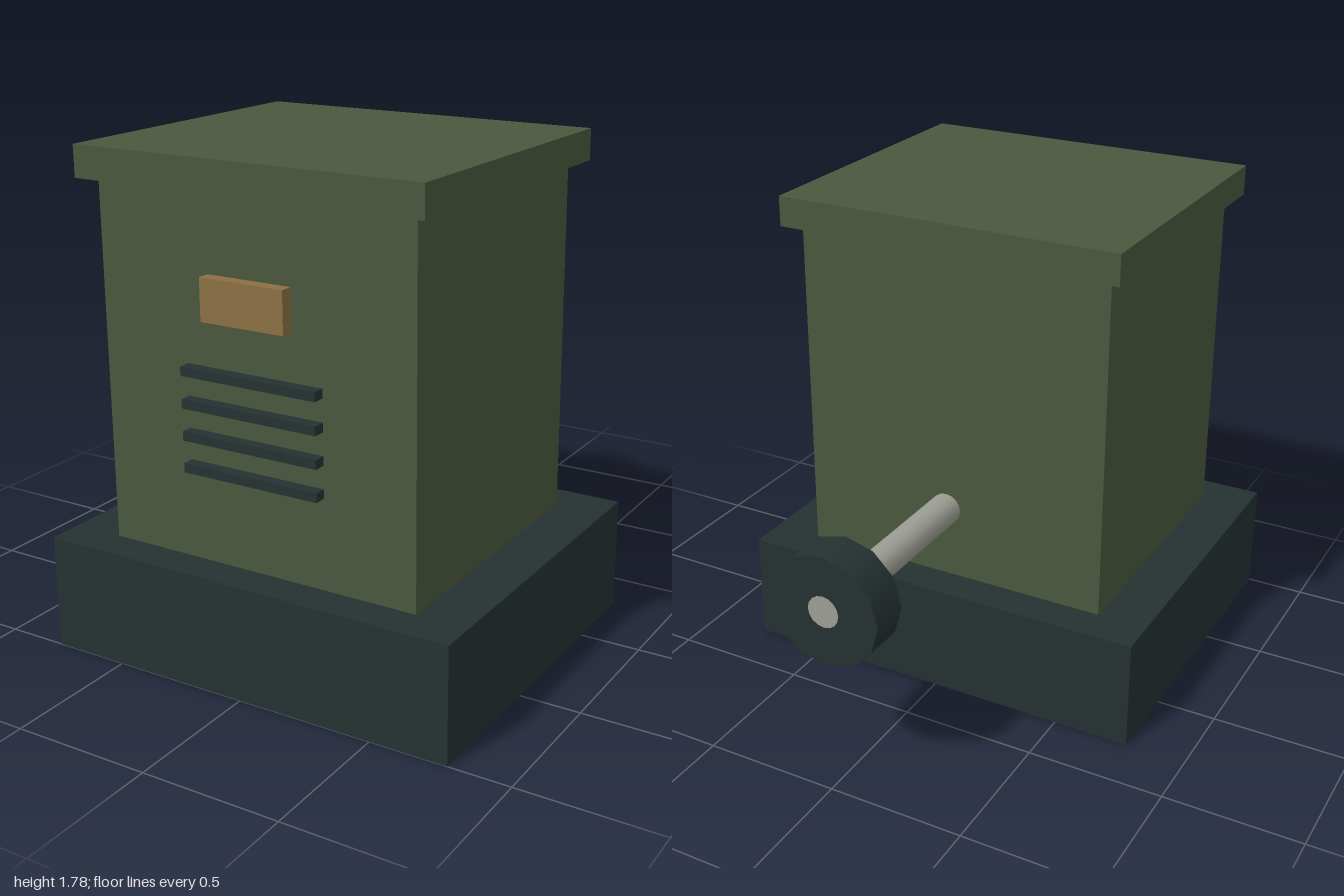
import * as THREE from 'three';

const material = (name, color) => {
  const m = new THREE.MeshStandardMaterial({ color });
  m.name = name;
  return m;
};

export function createModel() {
  const model = new THREE.Group();
  model.name = 'machineCabinet';
  const olive = material('olive green', 0x4a573e);
  const dark = material('dark slate', 0x253132);
  const brass = material('brass', 0x8c7043);
  const steel = material('steel', 0x9c9e94);

  const add = (name, geometry, mat, x, y, z) => {
    const mesh = new THREE.Mesh(geometry, mat);
    mesh.name = name;
    mesh.position.set(x, y, z);
    model.add(mesh);
    return mesh;
  };
  // Box centred on x, given its y and z ranges
  const box = (name, mat, width, y0, y1, z0, z1) =>
    add(name, new THREE.BoxGeometry(width, y1 - y0, z1 - z0), mat, 0, (y0 + y1) / 2, (z0 + z1) / 2);
  // Cylinder lying along z
  const rod = (name, mat, radius, sides, z0, z1) =>
    add(name, new THREE.CylinderGeometry(radius, radius, z1 - z0, sides).rotateX(Math.PI / 2),
      mat, 0, 0.705, (z0 + z1) / 2);

  // Cabinet
  box('base', dark, 1.56, 0, 0.41, -0.295, 1);
  box('body', olive, 1.19, 0.41, 1.67, -0.16, 0.872);
  box('lid', olive, 1.296, 1.67, 1.78, -0.22, 0.925);

  // Front details
  box('namePlate', brass, 0.314, 1.26, 1.405, 0.885, 0.93);
  for (let i = 0; i < 4; i++) {
    const y = 1.077 - i * 0.111;
    box('ventSlat', dark, 0.518, y - 0.016, y + 0.016, 0.872, 0.915);
  }

  // Rear shaft and hand wheel
  rod('shaft', steel, 0.058, 16, -1, -0.2);
  rod('handWheel', dark, 0.205, 12, -0.999, -0.852);

  return model;
}
